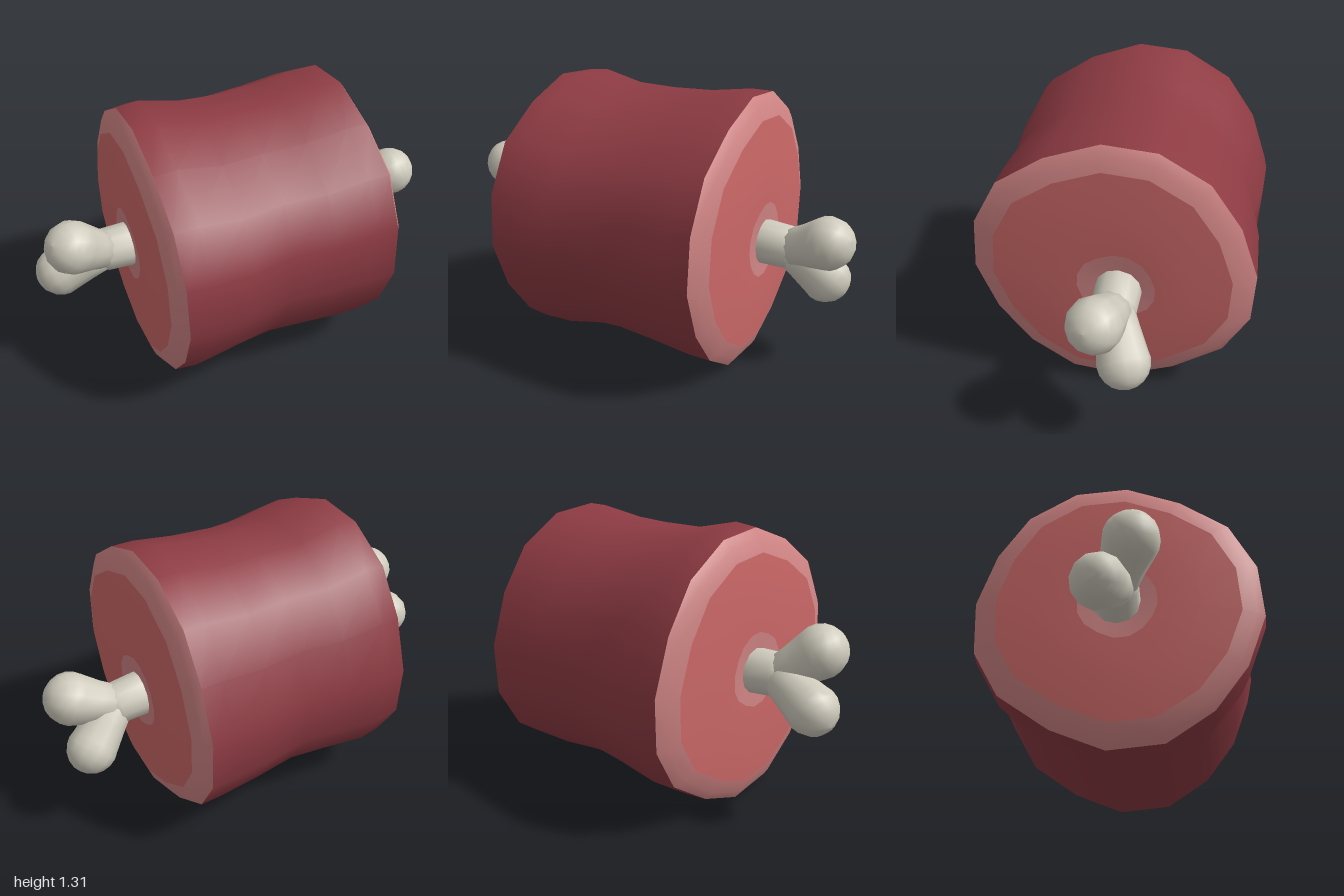
import * as THREE from 'three';

const mat = (color) => new THREE.MeshStandardMaterial({ color, roughness: 0.9 });
const CENTRE_Y = 0.66;

// Irregular 16-sided outline of the cut, as [z, y]
const outline = [
  [0.04, 1.315], [0.29, 1.225], [0.51, 1.08], [0.63, 0.86], [0.65, 0.61], [0.56, 0.37],
  [0.41, 0.17], [0.2, 0.03], [-0.05, 0.005], [-0.29, 0.1], [-0.52, 0.26], [-0.635, 0.465],
  [-0.645, 0.71], [-0.56, 0.96], [-0.42, 1.165], [-0.2, 1.295],
];

// Joins scaled copies of the outline; rings run towards +x as [x, yScale, zScale, yShift, zShift]
function loft(name, rings, material) {
  const n = outline.length, pos = [], idx = [];
  for (const [x, sy, sz = sy, dy = 0, dz = 0] of rings)
    for (const [z, y] of outline) pos.push(x, CENTRE_Y + dy + (y - CENTRE_Y) * sy, dz + z * sz);
  for (let r = 0; r < rings.length - 1; r++)
    for (let i = 0; i < n; i++) {
      const a = r * n + i, b = r * n + (i + 1) % n;
      idx.push(a, b, a + n, b, b + n, a + n);
    }
  const g = new THREE.BufferGeometry();
  g.setAttribute('position', new THREE.Float32BufferAttribute(pos, 3));
  g.setIndex(idx);
  g.computeVertexNormals();
  const mesh = new THREE.Mesh(g, material);
  mesh.name = name;
  return mesh;
}

// Turned form whose axis runs from a to b; profile is [radius, distance]
function turned(name, a, b, profile, material) {
  const g = new THREE.LatheGeometry(profile.map(([r, d]) => new THREE.Vector2(r, d)), 12);
  const mesh = new THREE.Mesh(g, material);
  mesh.position.copy(a);
  mesh.quaternion.setFromUnitVectors(new THREE.Vector3(0, 1, 0), b.clone().sub(a).normalize());
  mesh.name = name;
  return mesh;
}

export function createModel() {
  const group = new THREE.Group();
  const meat = mat(0x8e3b43), flesh = mat(0xcc6868), fat = mat(0xd08484), boneMat = mat(0xcfcbbd);

  // Waisted outer skin
  group.add(loft('meatSkin', [
    [-0.505, 0.982, 0.982], [-0.4, 1, 1], [-0.2, 0.928, 0.985], [0, 0.925, 0.93],
    [0.2, 0.935, 0.975], [0.4, 0.982, 0.98], [0.505, 0.982, 0.982],
  ], meat));

  // Cut ends: rounded fat rim, flesh face, pale ring around the bone
  for (const s of [-1, 1]) {
    const side = s > 0 ? 'left' : 'right';
    const dy = s > 0 ? -0.04 : 0.01, dz = s > 0 ? -0.025 : 0;
    const end = (name, rings, material) => {
      const list = rings.map(([x, k, f = 0]) => [s * x, k, k, dy * f, dz * f]);
      group.add(loft(side + name, s > 0 ? list : list.reverse(), material));
    };
    end('FatRim', [[0.505, 0.982], [0.533, 0.92], [0.553, 0.825]], fat);
    end('FleshFace', [[0.553, 0.825], [0.568, 0.55, 0.5], [0.568, 0.27, 1]], flesh);
    end('BoneRing', [[0.568, 0.27, 1], [0.562, 0.12, 1]], fat);
  }

  // Bone shaft through the middle
  const V = (x, y, z) => new THREE.Vector3(x, y, z);
  const bone = new THREE.Group();
  bone.name = 'bone';
  group.add(bone);
  const right = V(-0.68, 0.675, 0), left = V(0.69, 0.603, -0.04);
  const len = right.distanceTo(left);
  bone.add(turned('boneShaft', right, left, [
    [0, -0.09], [0.065, -0.065], [0.1, 0], [0.105, 0.12], [0.105, len - 0.12],
    [0.1, len], [0.065, len + 0.065], [0, len + 0.09],
  ], boneMat));

  // Two swollen knuckles at each end of the bone
  const knuckles = [
    ['rightUpperKnuckle', right, V(-0.84, 0.8, 0.075), 0.123],
    ['rightLowerKnuckle', right, V(-0.885, 0.583, -0.05), 0.118],
    ['leftUpperKnuckle', left, V(0.878, 0.68, 0.003), 0.123],
    ['leftLowerKnuckle', left, V(0.847, 0.457, -0.11), 0.117],
  ];
  for (const [name, from, to, r] of knuckles) {
    const d = from.distanceTo(to);
    const profile = [[0, -0.06], [0.085, -0.03], [0.098, d * 0.4], [r * 0.95, d - r * 0.3]];
    for (let i = 0; i <= 5; i++) {
      const t = (i / 5) * Math.PI / 2;
      profile.push([r * Math.cos(t), d + r * Math.sin(t)]);
    }
    profile[profile.length - 1][0] = 0;
    bone.add(turned(name, from, to, profile, boneMat));
  }
  return group;
}
